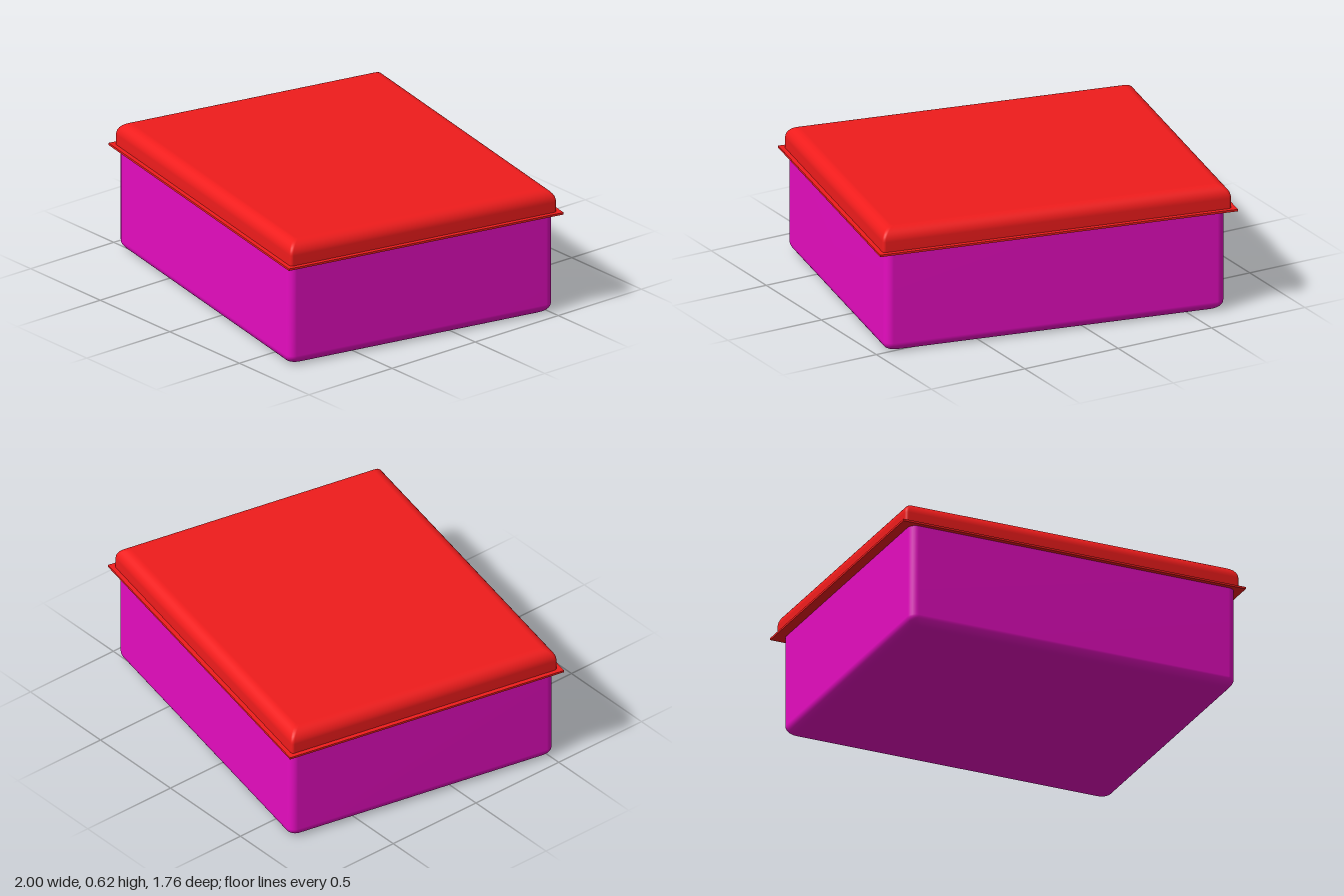
import * as THREE from 'three';

// Outline of a rounded rectangle, as [x, z] points
function roundedRect(hw, hd, r, steps = 6) {
  const points = [];
  const corners = [[1, 1], [-1, 1], [-1, -1], [1, -1]];
  corners.forEach(([sx, sz], q) => {
    for (let i = 0; i <= steps; i++) {
      const a = (q + i / steps) * Math.PI / 2;
      points.push([sx * (hw - r) + r * Math.cos(a), sz * (hd - r) + r * Math.sin(a)]);
    }
  });
  return points;
}

// Smooth skin through stacked rounded rectangles; sections run upwards as
// { y, inset }, and one end is closed with a flat cap
function shell(hw, hd, r, sections, capTop) {
  const pos = [], index = [];
  let n = 0;
  for (const { y, inset } of sections) {
    const ring = roundedRect(hw - inset, hd - inset, r);
    n = ring.length;
    ring.forEach(([x, z]) => pos.push(x, y, z));
  }
  for (let s = 0; s < sections.length - 1; s++) {
    for (let i = 0; i < n; i++) {
      const j = (i + 1) % n, a = s * n, b = a + n;
      index.push(a + i, b + i, a + j, a + j, b + i, b + j);
    }
  }
  const last = sections.length - 1;
  const centre = pos.length / 3, start = capTop ? last * n : 0;
  pos.push(0, sections[capTop ? last : 0].y, 0);
  for (let i = 0; i < n; i++) {
    const a = start + i, b = start + (i + 1) % n;
    if (capTop) index.push(centre, b, a);
    else index.push(centre, a, b);
  }
  const geo = new THREE.BufferGeometry();
  geo.setAttribute('position', new THREE.Float32BufferAttribute(pos, 3));
  geo.setIndex(index);
  geo.computeVertexNormals();
  return geo;
}

// Quarter-round edge: inset and height along an arc of radius r
function arc(r, steps = 8) {
  return Array.from({ length: steps + 1 }, (_, i) => {
    const a = i / steps * Math.PI / 2;
    return { inset: r * (1 - Math.cos(a)), h: r * Math.sin(a) };
  });
}

function rectPath(PathType, hw, hd) {
  const p = new PathType();
  p.moveTo(-hw, -hd);
  p.lineTo(hw, -hd);
  p.lineTo(hw, hd);
  p.lineTo(-hw, hd);
  p.closePath();
  return p;
}

export function createModel() {
  const model = new THREE.Group();
  model.name = 'lunchBox';
  const purple = new THREE.MeshStandardMaterial({ color: 0xe60cc0, side: THREE.DoubleSide });
  const red = new THREE.MeshStandardMaterial({ color: 0xf01c1c, side: THREE.DoubleSide });

  const add = (name, geo, mat) => {
    const mesh = new THREE.Mesh(geo, mat);
    mesh.name = name;
    model.add(mesh);
    return mesh;
  };

  // Container: rounded bottom edge, straight walls, open under the lid
  const bottom = arc(0.045).reverse().map(({ inset, h }) => ({ y: 0.045 - h, inset }));
  const container = add('container',
    shell(0.83, 0.695, 0.04, [...bottom, { y: 0.5, inset: 0 }], false), purple);
  container.position.set(0.006, 0, 0.004);

  // Lid: shallow hollow cover with a rounded top edge
  const top = arc(0.06).map(({ inset, h }) => ({ y: 0.555 + h, inset }));
  add('lid', shell(0.851, 0.699, 0.015, [{ y: 0.5, inset: 0 }, ...top], true), red);

  // Thin flange around the foot of the lid
  const outline = rectPath(THREE.Shape, 0.873, 0.721);
  outline.holes.push(rectPath(THREE.Path, 0.815, 0.68));
  const flangeGeo = new THREE.ExtrudeGeometry(outline, { depth: 0.01, bevelEnabled: false });
  flangeGeo.rotateX(-Math.PI / 2);
  add('lidFlange', flangeGeo, red).position.y = 0.495;

  // The box stands slightly turned
  model.rotation.y = -0.2;
  const root = new THREE.Group();
  root.name = 'foodContainer';
  root.add(model);
  return root;
}
